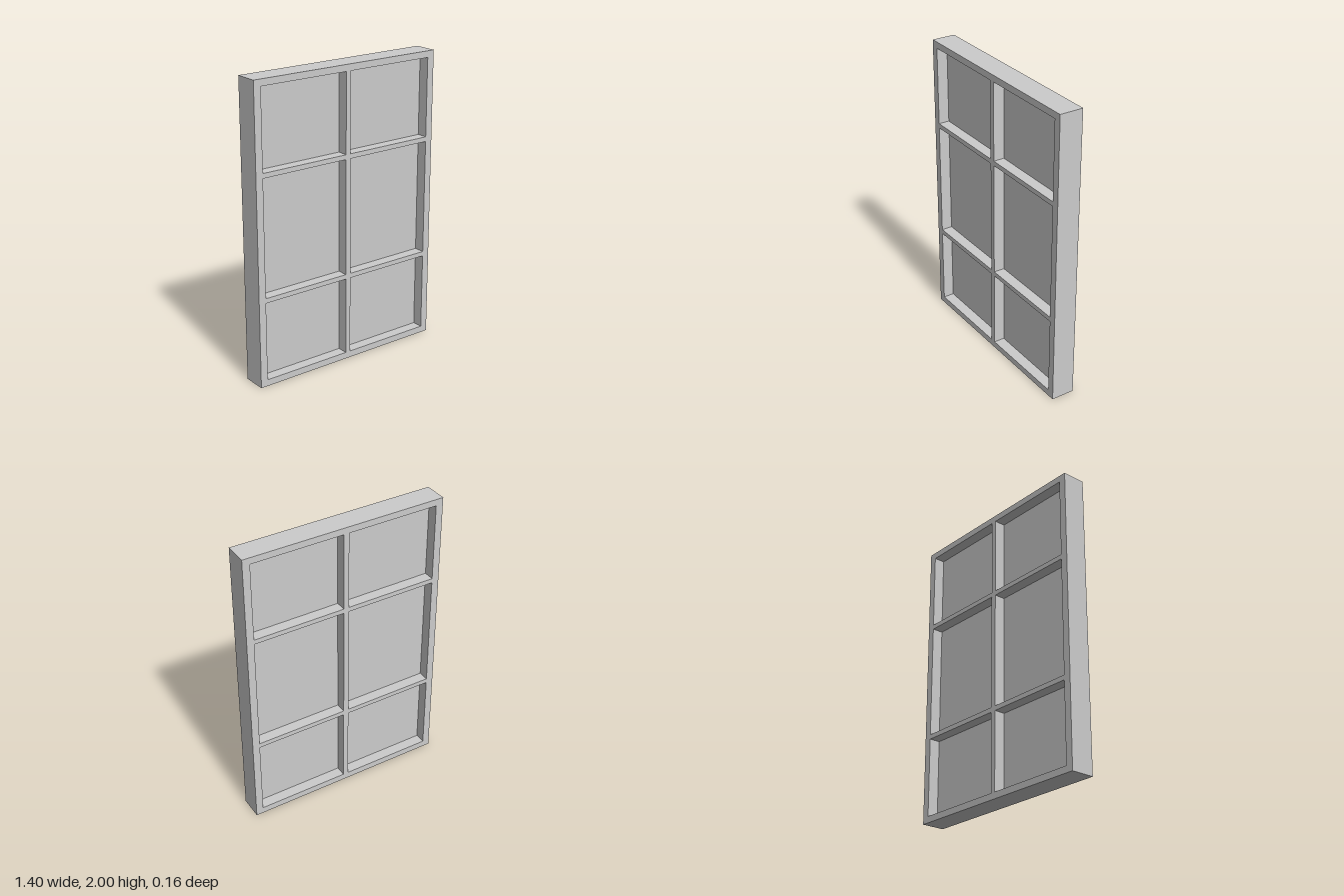
import * as THREE from 'three';

export function createModel() {
  const window = new THREE.Group();
  window.name = 'window';
  const material = new THREE.MeshStandardMaterial({ color: 0xcccccc, flatShading: true });

  const W = 0.698, H = 2, D = 0.16;       // outer half width, height, depth
  const inX = 0.648, bottom = 0.044, top = H - bottom;
  const mullionHalf = 0.018, railHeight = 0.032, paneDepth = 0.01;

  const add = (name, geometry, x = 0, y = 0, z = 0) => {
    const mesh = new THREE.Mesh(geometry, material);
    mesh.name = name;
    mesh.position.set(x, y, z);
    window.add(mesh);
  };
  const rectangle = (Type, x0, y0, x1, y1) => new Type([
    new THREE.Vector2(x0, y0), new THREE.Vector2(x1, y0),
    new THREE.Vector2(x1, y1), new THREE.Vector2(x0, y1),
  ]);

  // Outer frame with one opening
  const outline = rectangle(THREE.Shape, -W, 0, W, H);
  outline.holes.push(rectangle(THREE.Path, -inX, bottom, inX, top));
  add('outerFrame', new THREE.ExtrudeGeometry(outline, { depth: D, bevelEnabled: false }), 0, 0, -D / 2);

  // Upright bar, flush with the frame
  add('mullion', new THREE.BoxGeometry(mullionHalf * 2, top - bottom, D), 0, H / 2);

  // Cross bars on each side of the upright
  const railY = [0.592, H - 0.592];
  const bayWidth = inX - mullionHalf;
  const bayX = (inX + mullionHalf) / 2;
  for (const side of [-1, 1]) {
    for (const y of railY) {
      add('crossBar', new THREE.BoxGeometry(bayWidth, railHeight, D), side * bayX, y);
    }
    // Panes, set midway through the depth
    const edges = [bottom, ...railY, top];
    for (let i = 0; i < 3; i++) {
      const y0 = edges[i] + (i > 0 ? railHeight / 2 : 0);
      const y1 = edges[i + 1] - (i < 2 ? railHeight / 2 : 0);
      add('pane', new THREE.BoxGeometry(bayWidth, y1 - y0, paneDepth), side * bayX, (y0 + y1) / 2);
    }
  }
  return window;
}
